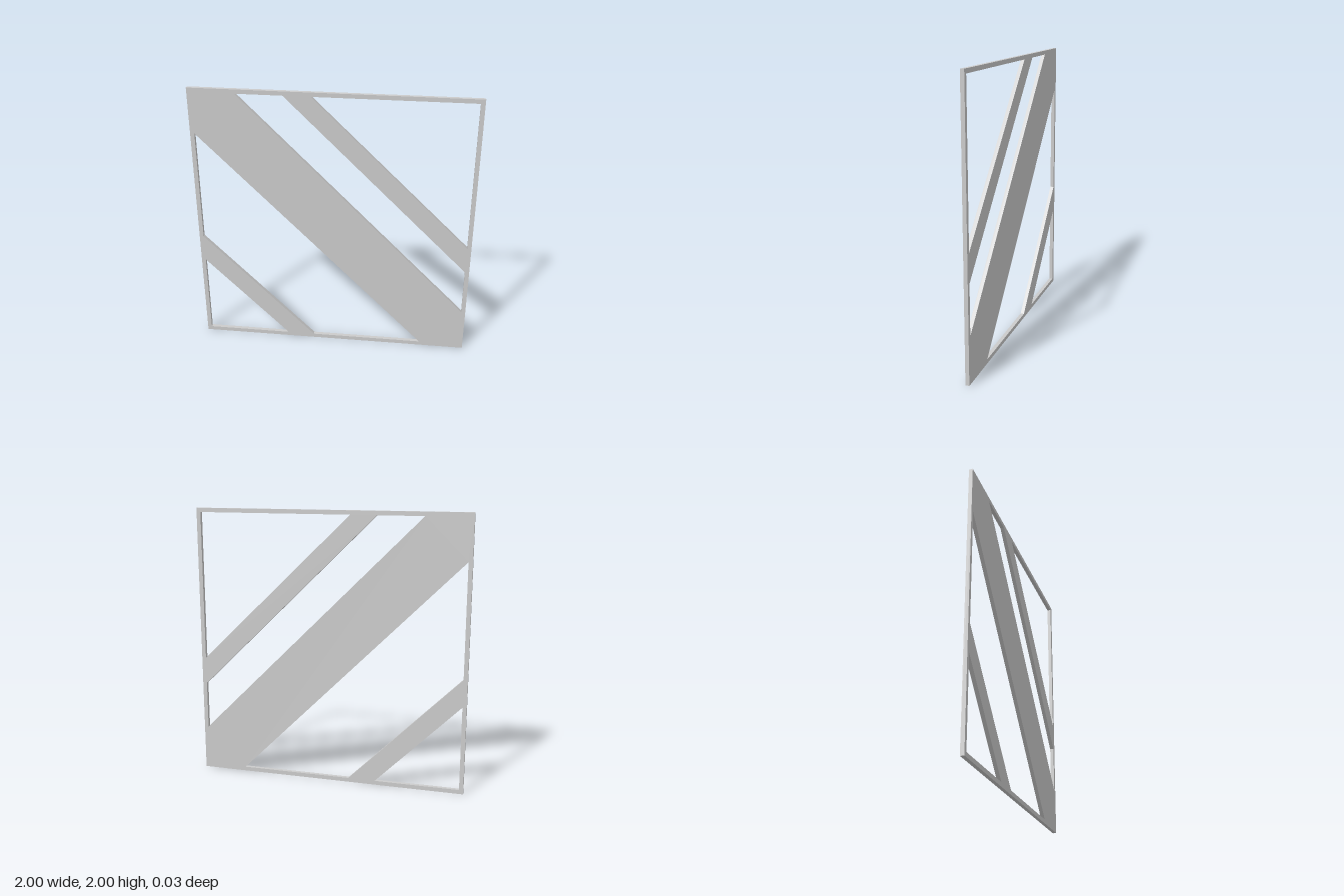
import * as THREE from 'three';

const DEPTH = 0.027;
const IN = 0.97; // inner edge of the rim, as a half-size
const LOW = 1 - IN, HIGH = 1 + IN; // inner bottom and top

const points = (list) => list.map(([x, y]) => new THREE.Vector2(x, y));

// Openings left between the rim and the diagonal bars
const openings = {
  upperCorner: [[-0.15, HIGH], [IN, HIGH], [IN, 0.88]],
  upperStrip: [[-0.67, HIGH], [-0.34, HIGH], [IN, 0.68], [IN, 0.33]],
  lowerStrip: [[-IN, 1.67], [-IN, 0.85], [-0.15, LOW], [0.67, LOW]],
  lowerCorner: [[-IN, 0.65], [-IN, LOW], [-0.35, LOW]],
};

export function createModel() {
  const group = new THREE.Group();
  group.name = 'diagonalBarPanel';

  // Square panel: thin rim, broad diagonal band and two narrow bars in one sheet
  const shape = new THREE.Shape(points([[-1, 0], [1, 0], [1, 2], [-1, 2]]));
  for (const corners of Object.values(openings)) {
    shape.holes.push(new THREE.Path(points(corners)));
  }
  const geometry = new THREE.ExtrudeGeometry(shape, { depth: DEPTH, bevelEnabled: false });
  geometry.translate(0, 0, -DEPTH / 2);

  const panel = new THREE.Mesh(geometry, new THREE.MeshStandardMaterial({ color: 0xcccccc }));
  panel.name = 'framedPanel';
  group.add(panel);
  return group;
}
